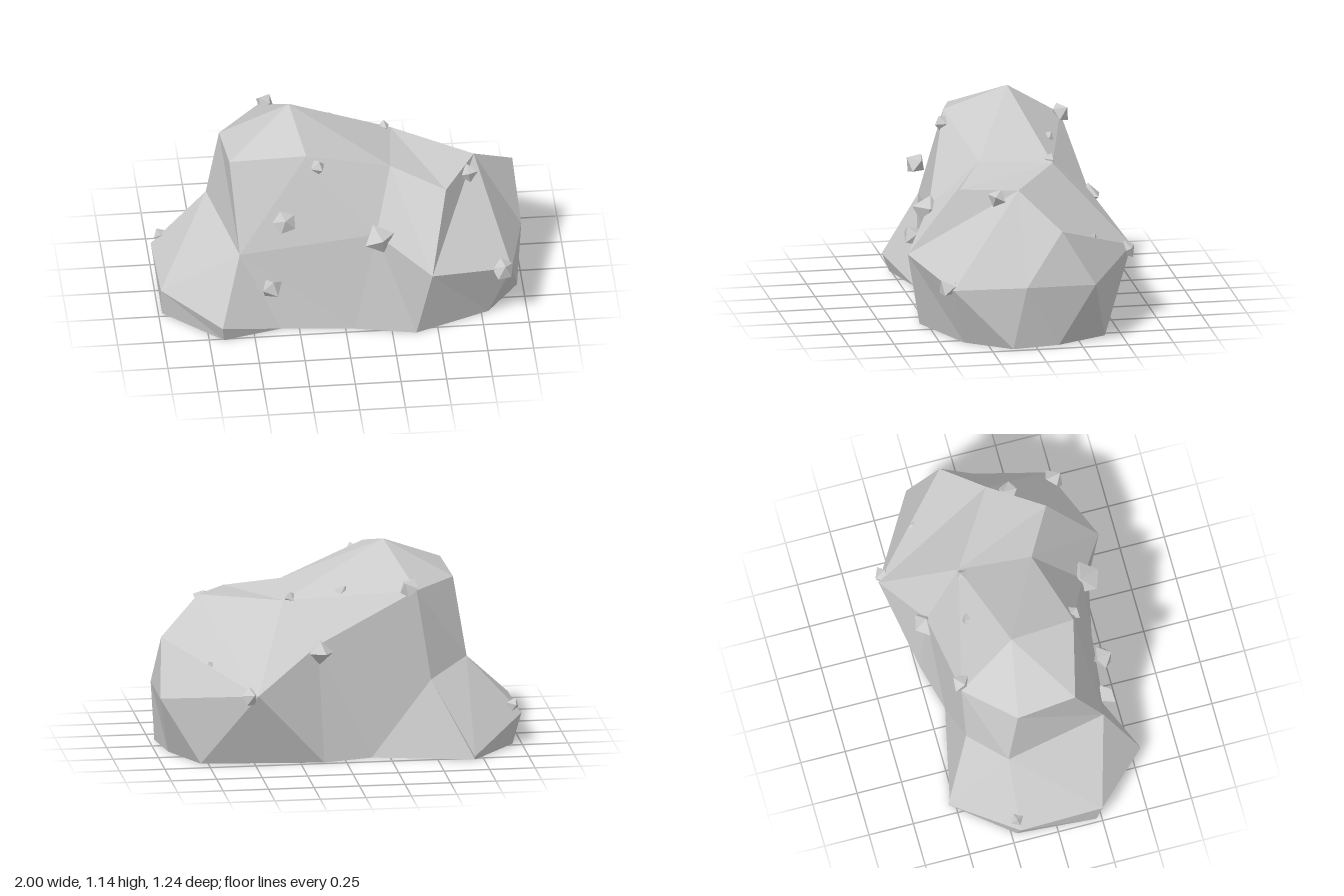
import * as THREE from 'three';

// Cross-section loops of the rock, each running from the left side (+x) round the front
const base = [
  [0.97, 0.13], [0.79, 0.37], [0.38, 0.54], [0.05, 0.47], [-0.35, 0.43], [-0.67, 0.51], [-0.98, 0.22],
  [-0.95, -0.22], [-0.7, -0.53], [-0.15, -0.41], [0.12, -0.48], [0.79, -0.41], [0.93, -0.13],
].map(([x, z]) => [x, 0, z]);

// Corners at the rock's widest part
const side = [1, 0.35, 0.06], sideFront = [0.91, 0.33, 0.45], frontNose = [0.46, 0.42, 0.62];
const frontMiddle = [0.17, 0.6, 0.45], frontHip = [-0.57, 0.46, 0.37], toe = [-0.68, 0.1, 0.55];
const tailFront = [-0.99, 0.17, 0.25], tailBack = [-1, 0.17, -0.21], heel = [-0.7, 0.02, -0.54];
const backHip = [-0.48, 0.42, -0.38], backHollow = [0.15, 0.65, -0.435];
const backNose = [0.5, 0.42, -0.61], sideBack = [1, 0.35, -0.32];

// Corners of the upper edge
const sideShoulder = [0.97, 0.65, -0.14], lowTop = [0.74, 0.83, 0.06], lowFront = [0.56, 0.8, 0.35];
const saddleFront = [0.27, 0.87, 0.19], topFront = [-0.2, 1.04, 0.3], topCorner = [-0.61, 0.96, 0.2];
const topSide = [-0.635, 0.93, -0.13], neck = [-0.7, 0.5, -0.2], topBack = [-0.4, 0.925, -0.385];
const saddleBack = [0.31, 0.85, -0.21], peak = [-0.26, 1.14, -0.065];

const waist = [side, sideFront, frontNose, frontMiddle, frontHip, toe, tailFront, tailBack, heel,
  backHip, backHollow, backNose, sideBack];
const belt = [side, sideFront, frontNose, frontMiddle, frontHip, tailFront, tailBack, heel,
  backHip, backHollow, backNose, sideShoulder];
const rim = [lowTop, lowFront, saddleFront, topFront, topCorner, topSide, neck, topBack, saddleBack];
const crown = [topFront, topCorner, topSide, topBack, saddleBack, saddleFront];

// Joins two loops with triangles; each step moves on along the lower (l) or upper (u) loop
function stitch(lower, upper, steps) {
  const out = [];
  let i = 0, j = 0;
  for (const step of steps) {
    const a = lower[i % lower.length], b = upper[j % upper.length];
    out.push(a, b, step === 'l' ? lower[++i % lower.length] : upper[++j % upper.length]);
  }
  return out;
}

function rockGeometry() {
  const corners = [
    ...stitch(base, waist, 'ul'.repeat(13)),
    ...stitch(belt, rim, 'lluululuuullllululull'),
    // Facets where a corner drops out of the next loop
    frontHip, tailFront, toe,
    backNose, sideShoulder, sideBack,
    sideShoulder, side, sideBack,
    neck, topSide, topBack,
    // Low shelf beside the peak
    lowTop, saddleBack, lowFront,
    lowFront, saddleBack, saddleFront,
  ];
  crown.forEach((p, i) => corners.push(p, peak, crown[(i + 1) % crown.length]));
  const geometry = new THREE.BufferGeometry();
  geometry.setAttribute('position', new THREE.Float32BufferAttribute(corners.flat(), 3));
  geometry.computeVertexNormals();
  return geometry;
}

// Small stones on the surface: x, y, z, radius
const stones = [
  [-0.33, 0.7, 0.43, 0.068], [0.18, 0.58, 0.46, 0.095], [-0.4, 0.27, 0.43, 0.068],
  [-0.14, 0.98, 0.32, 0.048], [0.7, 0.78, 0.17, 0.058], [0.86, 0.34, 0.47, 0.066],
  [-0.95, 0.22, -0.22, 0.042], [-0.36, 0.94, -0.38, 0.06], [-0.01, 0.9, -0.24, 0.048],
  [0.14, 0.61, -0.44, 0.075], [0.54, 0.41, -0.58, 0.055], [0.27, 0.86, -0.2, 0.038],
  [0.73, 0.54, -0.355, 0.025],
];

export function createModel() {
  const model = new THREE.Group();
  const material = new THREE.MeshStandardMaterial({
    color: 0xcccccc, flatShading: true, side: THREE.DoubleSide,
  });

  const rock = new THREE.Mesh(rockGeometry(), material);
  rock.name = 'rock';
  model.add(rock);

  // Five-sided pointed pebbles, each turned differently
  const pebbles = new THREE.Group();
  pebbles.name = 'pebbles';
  const stone = new THREE.SphereGeometry(1, 5, 2);
  stones.forEach(([x, y, z, r], i) => {
    const pebble = new THREE.Mesh(stone, material);
    pebble.name = 'pebble';
    pebble.position.set(x, y, z);
    pebble.scale.set(r, r * 0.9, r * 0.95);
    pebble.rotation.set(0.9 + i * 1.3, i * 2.1, i * 0.7);
    pebbles.add(pebble);
  });
  model.add(pebbles);
  return model;
}
